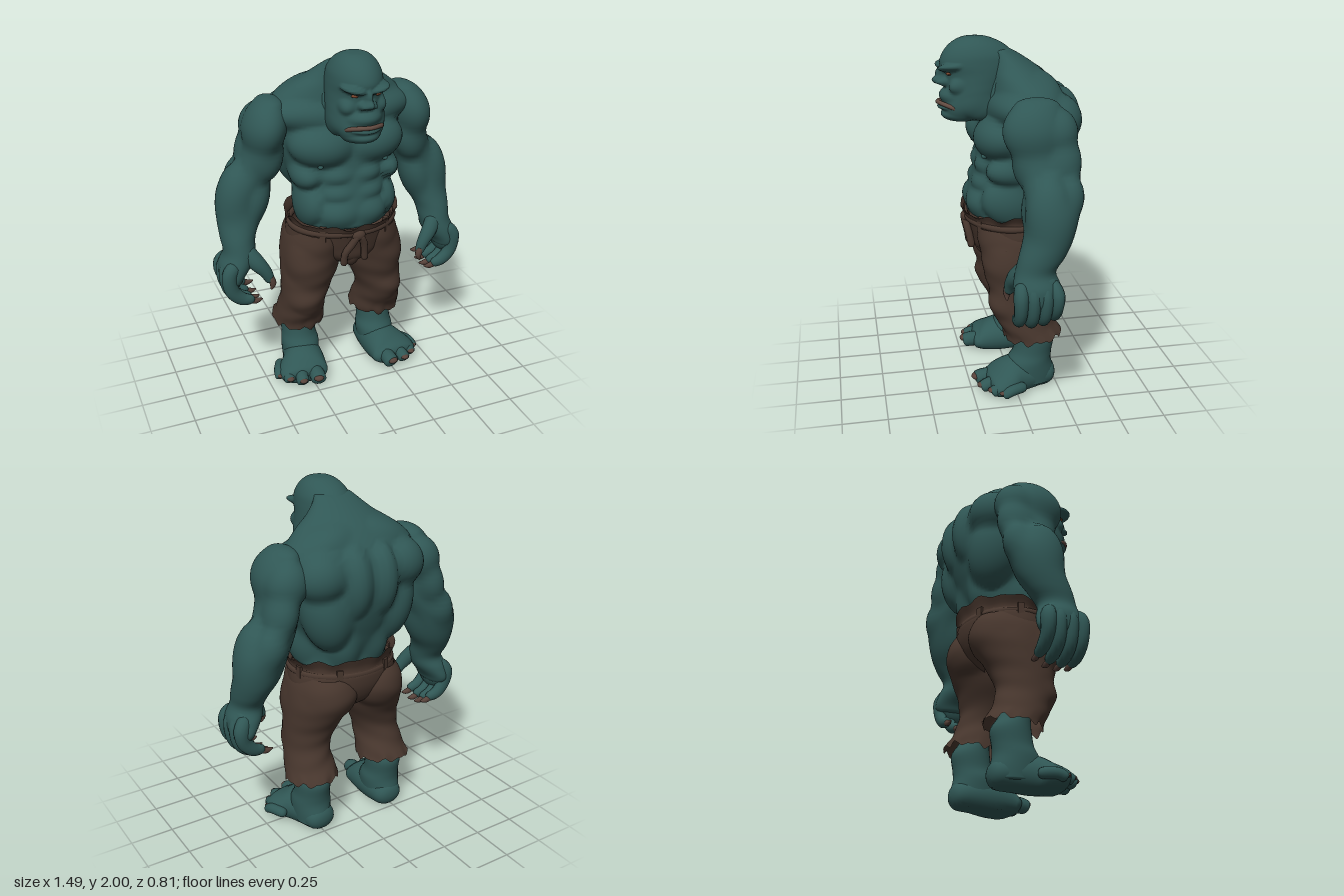
import * as THREE from 'three';

const mat = (name, color, side = THREE.FrontSide) => {
  const m = new THREE.MeshStandardMaterial({ color, side });
  m.name = name;
  return m;
};

// Smooth interpolation through rows [x, y, z, radiusU, radiusS]
function sample(rows, t) {
  const f = t * (rows.length - 1), i = Math.min(Math.floor(f), rows.length - 2), s = f - i;
  const row = k => rows[Math.max(0, Math.min(rows.length - 1, i + k))];
  return rows[0].map((_, c) => {
    const [a, b, d, e] = [row(-1)[c], row(0)[c], row(1)[c], row(2)[c]];
    return b + 0.5 * s * (d - a + s * (2 * a - 5 * b + 4 * d - e + s * (3 * (b - d) + e - a)));
  });
}

// Skin elliptical sections along a path; flat keeps them horizontal (rows go upwards)
function loft(rows, { up = [0, 1, 0], flat = false, round = 0.12, n = 24, seg = 20, power = 2, shape } = {}) {
  const pos = [], index = [], U0 = new THREE.Vector3(...(flat ? [1, 0, 0] : up));
  for (let i = 0; i <= n; i++) {
    const t = 0.5 - 0.5 * Math.cos(Math.PI * i / n), r = sample(rows, t);
    const p0 = sample(rows, Math.max(0, t - 0.01)), p1 = sample(rows, Math.min(1, t + 0.01));
    const T = flat ? new THREE.Vector3(0, 1, 0)
      : new THREE.Vector3(p1[0] - p0[0], p1[1] - p0[1], p1[2] - p0[2]).normalize();
    const S = U0.clone().cross(T).normalize(), U = T.clone().cross(S);
    const q = round ? Math.max(0, 1 - Math.min(t, 1 - t) / round) : 0, k = Math.sqrt(Math.max(0, 1 - q * q));
    for (let j = 0; j < seg; j++) {
      const a = j / seg * Math.PI * 2, c = Math.cos(a), s = Math.sin(a), e = 2 / power;
      const v = new THREE.Vector3(r[0], r[1], r[2])
        .addScaledVector(S, Math.sign(c) * Math.abs(c) ** e * r[4] * k)
        .addScaledVector(U, Math.sign(s) * Math.abs(s) ** e * r[3] * k);
      if (shape) shape(v, t, a, r);
      pos.push(v.x, v.y, v.z);
      if (i < n) {
        const A = i * seg + j, B = i * seg + (j + 1) % seg;
        index.push(A, B, B + seg, A, B + seg, A + seg);
      }
    }
  }
  const g = new THREE.BufferGeometry();
  g.setAttribute('position', new THREE.Float32BufferAttribute(pos, 3));
  g.setIndex(index);
  g.computeVertexNormals();
  return g;
}

// Horizontal sections given as [y, centreX, halfWidth, frontZ, backZ]
const body = (rows, opt = {}) => loft(rows.map(([y, x, w, f, b]) => [x, y, (f + b) / 2, w, (f - b) / 2]),
  { flat: true, round: 0.04, n: 40, seg: 48, ...opt });

const ball = (p, r) => new THREE.SphereGeometry(1, 28, 20).scale(...r).translate(...p);

// Shape rule: swell a section outwards to cover muscle ellipsoids [centre, radii, rotation], blending over k.
// Sections centred on x = 0 are swollen on both sides.
function muscles(list, k) {
  const inverses = list.map(([p, s, rot = [0, 0, 0]]) => new THREE.Matrix4().compose(new THREE.Vector3(...p),
    new THREE.Quaternion().setFromEuler(new THREE.Euler(...rot, 'ZYX')), new THREE.Vector3(...s)).invert());
  return (v, t, a, r) => {
    const o = new THREE.Vector3(r[0], v.y, r[2]), dir = v.clone().sub(o), base = dir.length();
    if (base < 1e-5) return;
    dir.divideScalar(base);
    const ray = dir.clone();
    if (r[0] === 0) ray.x = Math.abs(ray.x);
    let R = base;
    for (const m of inverses) {
      const O = o.clone().applyMatrix4(m), D = o.clone().add(ray).applyMatrix4(m).sub(O);
      const A = D.lengthSq(), B = O.dot(D), disc = B * B - A * (O.lengthSq() - 1);
      if (disc <= 0) continue;
      const far = (-B + Math.sqrt(disc)) / A, h = Math.max(0, k - Math.abs(R - far)) / k;
      R = Math.max(R, far) + h * h * k / 4;
    }
    v.copy(o).addScaledVector(dir, R);
  };
}

const tube = (pts, r, opt = {}) => loft(pts.map(p => [...p, r, r]), { n: 16, seg: 10, ...opt });

export function createModel() {
  const model = new THREE.Group();
  const skin = mat('teal skin', 0x305755), cloth = mat('brown cloth', 0x47362d, THREE.DoubleSide);
  const rope = mat('rope', 0x49382f), nail = mat('claw', 0x57423a);
  const lip = mat('lip', 0x624b41), eye = mat('eye', 0x72412a);

  const add = (name, geo, m) => {
    const mesh = new THREE.Mesh(geo, m);
    mesh.name = name;
    model.add(mesh);
  };
  const pair = (name, geo, m) => {
    add(name + 'Left', geo, m);
    const g = geo.clone().scale(-1, 1, 1), ix = g.index.array;
    for (let i = 0; i < ix.length; i += 3) [ix[i], ix[i + 1]] = [ix[i + 1], ix[i]];
    add(name + 'Right', g, m);
  };

  // Torso: chest, belly, back and trapezius
  add('torso', body([
    [0.98, 0, 0.27, 0.22, -0.27], [1.1, 0, 0.275, 0.225, -0.27], [1.2, 0, 0.28, 0.2, -0.3],
    [1.3, 0, 0.305, 0.175, -0.335], [1.4, 0, 0.335, 0.16, -0.36], [1.52, 0, 0.365, 0.155, -0.37],
    [1.62, 0, 0.385, 0.14, -0.35], [1.7, 0, 0.37, 0.11, -0.31], [1.78, 0, 0.29, 0.1, -0.24],
    [1.84, 0, 0.2, 0.1, -0.165], [1.9, 0, 0.135, 0.1, -0.075], [1.94, 0, 0.1, 0.12, 0]],
  { n: 90, seg: 96, shape: muscles([
    [[0.155, 1.47, 0.06], [0.18, 0.125, 0.14], [0, 0.2, 0.1]],
    [[0.22, 1.64, 0], [0.2, 0.09, 0.11], [0, 0.3, 0]],
    [[0.08, 1.305, 0.08], [0.1, 0.06, 0.105]],
    [[0.08, 1.205, 0.1], [0.1, 0.06, 0.1]],
    [[0.08, 1.09, 0.12], [0.12, 0.09, 0.115]],
    [[0.21, 1.13, 0.02], [0.085, 0.13, 0.15], [0, 0, 0.1]],
    [[0.23, 1.3, 0.02], [0.085, 0.08, 0.13], [0, 0, -0.2]],
    [[0.19, 1.71, -0.12], [0.2, 0.1, 0.15], [0, 0, -0.4]],
    [[0.08, 1.53, -0.28], [0.095, 0.2, 0.13]],
    [[0.24, 1.58, -0.23], [0.15, 0.14, 0.14], [0, 0, -0.3]],
    [[0.2, 1.36, -0.2], [0.14, 0.23, 0.15], [0, 0, -0.2]],
    [[0.09, 1.17, -0.19], [0.1, 0.17, 0.11]],
  ], 0.035) }), skin);
  pair('nipple', ball([0.19, 1.38, 0.15], [0.015, 0.013, 0.018]), skin);
  pair('neckCord', loft([[0.1, 1.57, 0.09, 0.035, 0.05], [0.128, 1.68, 0.06, 0.032, 0.06], [0.135, 1.8, 0.02, 0.02, 0.05]],
    { up: [1, 0, 0] }), skin);

  // Head with heavy brow, flat nose, cheeks, muzzle and jowls
  add('head', body([
    [1.545, 0, 0.085, 0.32, 0.17], [1.58, 0, 0.115, 0.345, 0.11], [1.63, 0, 0.142, 0.35, 0.05],
    [1.7, 0, 0.153, 0.335, 0], [1.765, 0, 0.15, 0.335, -0.03], [1.81, 0, 0.147, 0.34, -0.05],
    [1.86, 0, 0.143, 0.36, -0.06], [1.91, 0, 0.134, 0.345, -0.04], [1.955, 0, 0.11, 0.31, 0.01],
    [1.985, 0, 0.078, 0.265, 0.07], [2, 0, 0.045, 0.22, 0.12]],
  { n: 90, seg: 96, shape: muscles([
    [[0.055, 1.84, 0.29], [0.075, 0.024, 0.09], [0, 0.35, 0.22]],
    [[0, 1.805, 0.3], [0.026, 0.055, 0.085]],
    [[0, 1.77, 0.31], [0.032, 0.034, 0.094]],
    [[0.028, 1.76, 0.3], [0.024, 0.024, 0.085]],
    [[0.075, 1.75, 0.25], [0.05, 0.05, 0.075], [0, 0.4, -0.5]],
    [[0, 1.685, 0.26], [0.1, 0.055, 0.107]],
    [[0, 1.625, 0.27], [0.092, 0.026, 0.108]],
    [[0, 1.58, 0.26], [0.088, 0.037, 0.098]],
    [[0.098, 1.645, 0.15], [0.055, 0.09, 0.11]],
  ], 0.02) }), skin);
  add('mouth', tube([[-0.105, 1.622, 0.28], [-0.076, 1.642, 0.335], [0, 1.65, 0.375], [0.076, 1.642, 0.335], [0.105, 1.622, 0.28]], 0.012), lip);
  pair('eye', ball([0.062, 1.811, 0.317], [0.02, 0.009, 0.016]), eye);

  // Arms: deltoids, biceps, triceps, forearms
  pair('arm', body([
    [0.68, 0.665, 0.05, 0.06, -0.15], [0.73, 0.665, 0.07, 0.08, -0.18], [0.8, 0.64, 0.095, 0.08, -0.17],
    [0.87, 0.615, 0.09, 0.065, -0.15], [0.95, 0.61, 0.1, 0.045, -0.2], [1.05, 0.585, 0.125, 0.015, -0.25],
    [1.2, 0.55, 0.135, -0.005, -0.285], [1.33, 0.478, 0.12, 0.01, -0.265], [1.45, 0.445, 0.1, 0.05, -0.26],
    [1.58, 0.43, 0.11, 0.08, -0.25], [1.68, 0.4, 0.085, 0.04, -0.22], [1.735, 0.395, 0.05, 0, -0.17]],
  { round: 0.06, n: 70, seg: 48, shape: muscles([
    [[0.43, 1.57, -0.07], [0.115, 0.155, 0.165], [0.15, 0, 0.25]],
    [[0.425, 1.555, -0.19], [0.112, 0.13, 0.11], [0, 0, 0.35]],
    [[0.43, 1.4, -0.045], [0.09, 0.14, 0.09], [0, 0, 0.25]],
    [[0.475, 1.41, -0.2], [0.09, 0.16, 0.11], [0, 0, 0.25]],
    [[0.6, 1.17, -0.12], [0.105, 0.2, 0.125], [0, 0, 0.2]],
    [[0.5, 1.15, -0.1], [0.085, 0.17, 0.11], [0, 0, 0.3]],
    [[0.545, 1.25, -0.225], [0.085, 0.12, 0.085], [0, 0, 0.3]],
  ], 0.025) }), skin);

  // Hands: palm, four curled fingers and a thumb, each with a claw
  pair('palm', ball([0.67, 0.755, -0.045], [0.058, 0.125, 0.125]), skin);
  [[0.05, 0], [-0.015, -0.012], [-0.08, -0.005], [-0.14, 0.02]].forEach(([z, d], i) => {
    pair('finger' + i, loft([[0.655, 0.82, z * 0.8, 0.038, 0.04], [0.7, 0.765, z, 0.04, 0.045], [0.69, 0.665 + d, z, 0.036, 0.042],
      [0.635, 0.605 + d, z, 0.032, 0.038], [0.565, 0.59 + d, z + 0.005, 0.023, 0.026]], { up: [0, 0, 1], seg: 14 }), skin);
    pair('fingerClaw' + i, loft([[0.6, 0.59 + d, z, 0.016, 0.018], [0.555, 0.575 + d, z, 0.016, 0.018], [0.515, 0.58 + d, z, 0.004, 0.004]],
      { up: [0, 0, 1], n: 10, seg: 10 }), nail);
  });
  pair('thumb', loft([[0.6, 0.89, 0, 0.045, 0.05], [0.545, 0.82, 0.045, 0.043, 0.048], [0.495, 0.755, 0.065, 0.034, 0.036],
    [0.468, 0.69, 0.07, 0.024, 0.026]], { up: [0, 0, 1], seg: 14 }), skin);
  pair('thumbClaw', loft([[0.475, 0.73, 0.08, 0.018, 0.018], [0.46, 0.685, 0.08, 0.02, 0.02], [0.472, 0.645, 0.08, 0.005, 0.005]],
    { up: [0, 0, 1], n: 10, seg: 10 }), nail);

  // Lower legs and feet
  pair('shin', body([
    [0.02, 0.25, 0.1, 0.05, -0.24], [0.09, 0.25, 0.108, 0.06, -0.238], [0.16, 0.248, 0.113, 0.035, -0.222],
    [0.22, 0.25, 0.103, 0, -0.225], [0.3, 0.25, 0.105, -0.015, -0.235], [0.36, 0.25, 0.1, -0.02, -0.2],
    [0.42, 0.25, 0.09, -0.02, -0.16]], { seg: 28 }), skin);
  pair('foot', loft([
    [0.24, 0.06, -0.245, 0.065, 0.08], [0.245, 0.07, -0.12, 0.1, 0.105], [0.262, 0.07, 0, 0.112, 0.125],
    [0.293, 0.055, 0.09, 0.08, 0.148], [0.305, 0.045, 0.16, 0.052, 0.13]],
  { seg: 28, shape: v => { v.y = Math.max(v.y, 0); } }), skin);
  [[0.235, 0.215, 0.046], [0.325, 0.195, 0.038], [0.39, 0.145, 0.035], [0.432, 0.085, 0.031]].forEach(([x, z, r], i) => {
    pair('toe' + i, loft([[x - 0.04 * (i > 0), 0.055, z - 0.13, r, r], [x, 0.057, z - 0.04, r, r], [x + 0.006, r, z + 0.01, r * 0.85, r]],
      { round: 0.2, n: 14, seg: 14 }), skin);
    pair('toeNail' + i, ball([x + 0.006, r + 0.02, z + 0.005], [r * 0.66, r * 0.42, 0.026]), nail);
  });

  // Trousers with ragged waist and hems
  const jag = a => 0.55 * Math.sin(a * 9) + 0.45 * Math.sin(a * 14 + 1);
  add('hips', body([
    [0.73, 0, 0.06, 0.1, -0.16], [0.8, 0, 0.2, 0.18, -0.25], [0.88, 0, 0.315, 0.2, -0.29],
    [0.96, 0, 0.325, 0.22, -0.3], [1.02, 0, 0.305, 0.24, -0.29]], { round: 0 }), cloth);
  add('waistband', body([
    [0.97, 0, 0.32, 0.232, -0.3], [1.01, 0, 0.31, 0.242, -0.292], [1.055, 0, 0.335, 0.256, -0.31]],
  { round: 0, n: 10, seg: 80, shape: (v, t, a) => { v.y += -0.09 * v.z * t + 0.016 * t * jag(a); } }), cloth);
  const legForm = muscles([
    [[0.15, 0.86, -0.16], [0.16, 0.15, 0.155]],
    [[0.25, 0.53, 0.03], [0.095, 0.11, 0.105]],
    [[0.22, 0.76, 0.03], [0.13, 0.17, 0.135]],
  ], 0.03);
  pair('trouserLeg', body([
    [0.325, 0.25, 0.155, 0.045, -0.275], [0.41, 0.247, 0.14, 0.085, -0.235], [0.5, 0.242, 0.13, 0.125, -0.2],
    [0.6, 0.222, 0.145, 0.135, -0.205], [0.7, 0.196, 0.166, 0.15, -0.25], [0.8, 0.182, 0.172, 0.17, -0.295],
    [0.9, 0.17, 0.165, 0.19, -0.285], [0.97, 0.165, 0.14, 0.19, -0.26]],
  { round: 0, n: 56, seg: 64, shape: (v, t, a, r) => {
    legForm(v, t, a, r);
    const low = Math.max(0, 1 - t / 0.12);
    v.y += low * (0.018 * jag(a) - 0.1 * (v.z + 0.11));
    v.z += 0.005 * Math.sin(v.y * 55 + v.x * 14) * (1 - t);
  } }), cloth);
  add('fly', ball([0, 0.84, 0.11], [0.06, 0.11, 0.075]), cloth);

  // Pocket edges and belt loops
  pair('pocketSeam', tube([[0.2, 0.955, 0.17], [0.215, 0.895, 0.165], [0.27, 0.865, 0.12], [0.325, 0.875, 0.045]], 0.011), cloth);
  for (const [x, z, ry] of [[0.19, 0.175, 0.6], [0.305, -0.09, 1.75], [0.15, -0.26, 2.8]])
    pair('beltLoop', new THREE.BoxGeometry(0.035, 0.085, 0.025).rotateY(ry).translate(x, 0.985, z), cloth);

  // Rope belt, knot and hanging ends
  add('ropeBelt', new THREE.TorusGeometry(1, 0.06, 8, 64).rotateX(Math.PI / 2).scale(0.308, 0.35, 0.257).translate(0, 0.985, -0.028), rope);
  add('ropeKnot', ball([0, 0.975, 0.235], [0.04, 0.032, 0.026]), rope);
  add('ropeEndRight', tube([[-0.005, 0.98, 0.242], [-0.035, 0.92, 0.228], [-0.07, 0.86, 0.212], [-0.075, 0.78, 0.2]], 0.021), rope);
  add('ropeEndLeft', tube([[0.005, 0.98, 0.242], [0.035, 0.92, 0.228], [0.045, 0.86, 0.215], [0.05, 0.8, 0.205]], 0.021), rope);

  return model;
}
